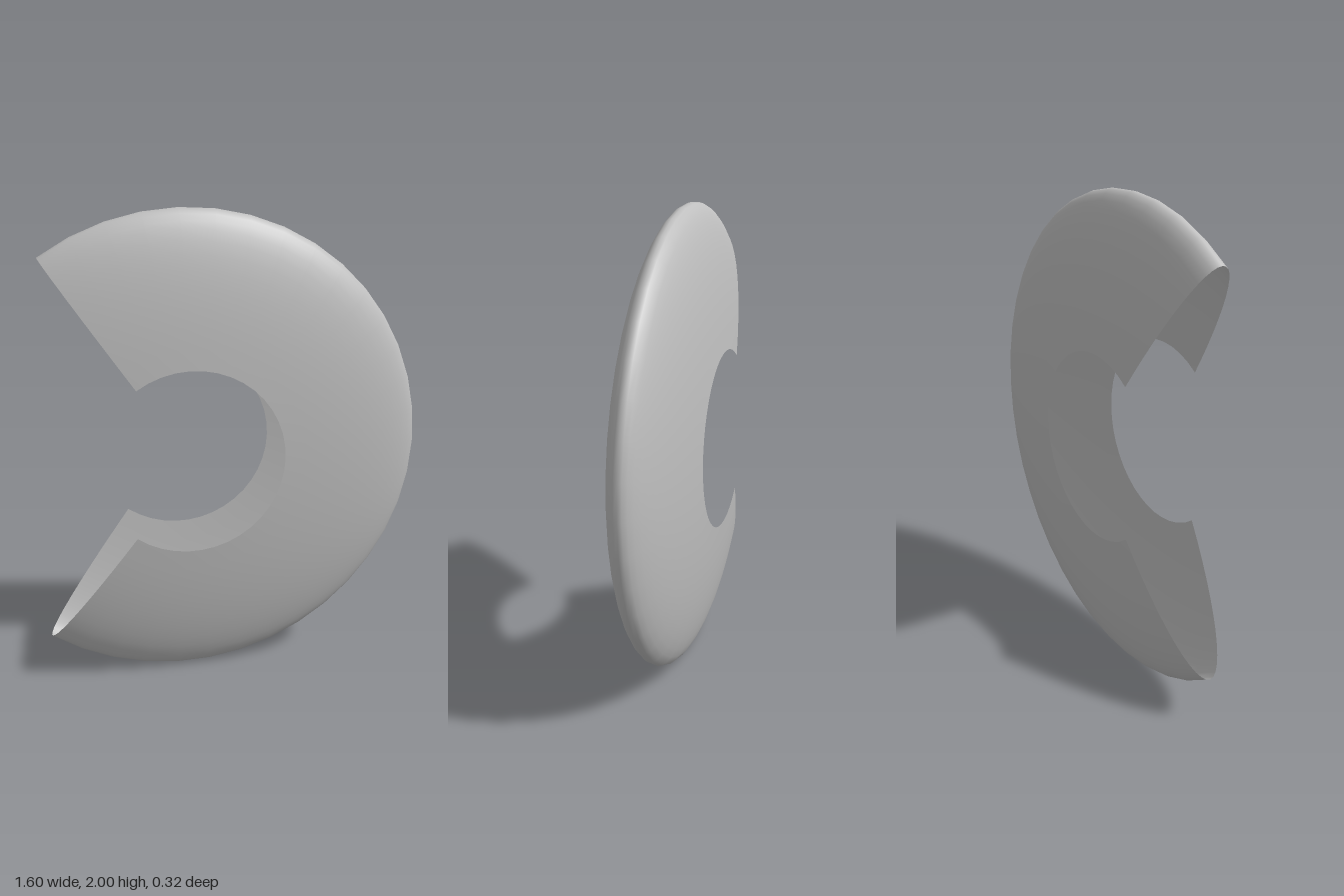
import * as THREE from 'three';

export function createModel() {
  const group = new THREE.Group();
  const grey = new THREE.MeshStandardMaterial({ color: 0xbfbfbf, side: THREE.DoubleSide });
  grey.name = 'plain grey';

  // Open elliptical cross-section: widest at the hole, rounded at the outer rim
  const outer = 1.002, inner = 0.389, halfDepth = 0.16;
  const tMax = Math.acos(inner / outer);
  const bulge = halfDepth / Math.sin(tMax);
  const profile = [];
  const steps = 24;
  for (let i = 0; i <= steps; i++) {
    const t = -tMax + (2 * tMax * i) / steps;
    profile.push(new THREE.Vector2(outer * Math.cos(t), bulge * Math.sin(t)));
  }

  // Sweep from the lower cut to the upper cut, then stand the ring upright
  const startAngle = THREE.MathUtils.degToRad(-36.8);
  const sweep = THREE.MathUtils.degToRad(251.2);
  const geometry = new THREE.LatheGeometry(profile, 30, startAngle, sweep);
  geometry.rotateX(Math.PI / 2);

  const shell = new THREE.Mesh(geometry, grey);
  shell.name = 'openRingShell';
  shell.position.set(-0.202, 1.001, 0);
  group.add(shell);
  return group;
}
